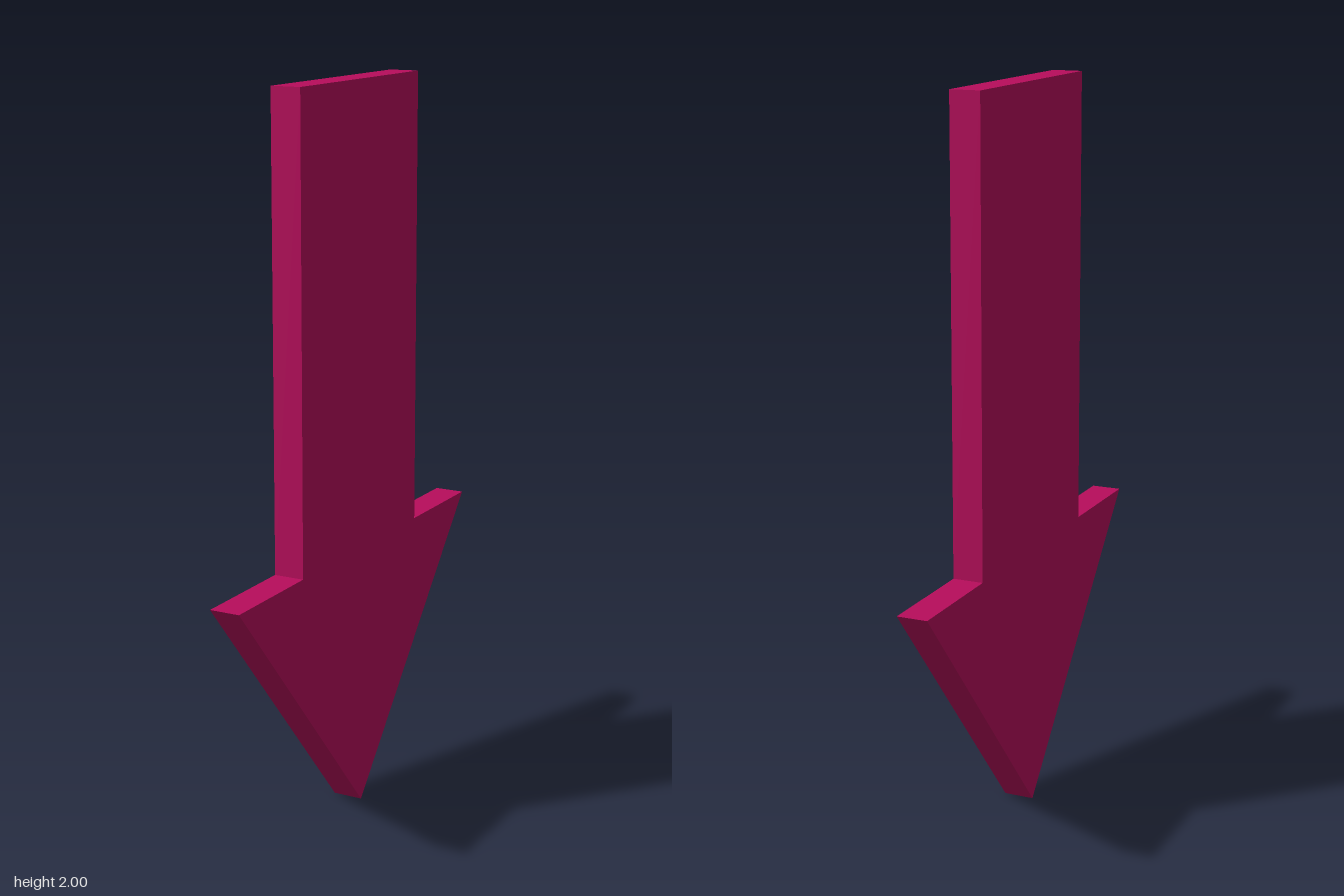
import * as THREE from 'three';

export function createModel() {
  const thickness = 0.084, shaft = 0.32, head = 0.638, shoulder = 0.74, top = 2;

  // Right half of the outline from tip to top, then mirrored
  const half = [[head, shoulder], [shaft, shoulder], [shaft, top]];
  const outline = [[0, 0], ...half, ...half.map(([x, y]) => [-x, y]).reverse()];
  const shape = new THREE.Shape(outline.map(([x, y]) => new THREE.Vector2(x, y)));

  // Flat plate, turned so its broad faces point along x
  const geometry = new THREE.ExtrudeGeometry(shape, { depth: thickness, bevelEnabled: false });
  geometry.translate(0, 0, -thickness / 2);
  geometry.rotateY(Math.PI / 2);

  const arrow = new THREE.Mesh(
    geometry,
    new THREE.MeshStandardMaterial({ color: 0xb80d5c })
  );
  arrow.name = 'downArrow';

  const group = new THREE.Group();
  group.name = 'arrowMarker';
  group.add(arrow);
  return group;
}
